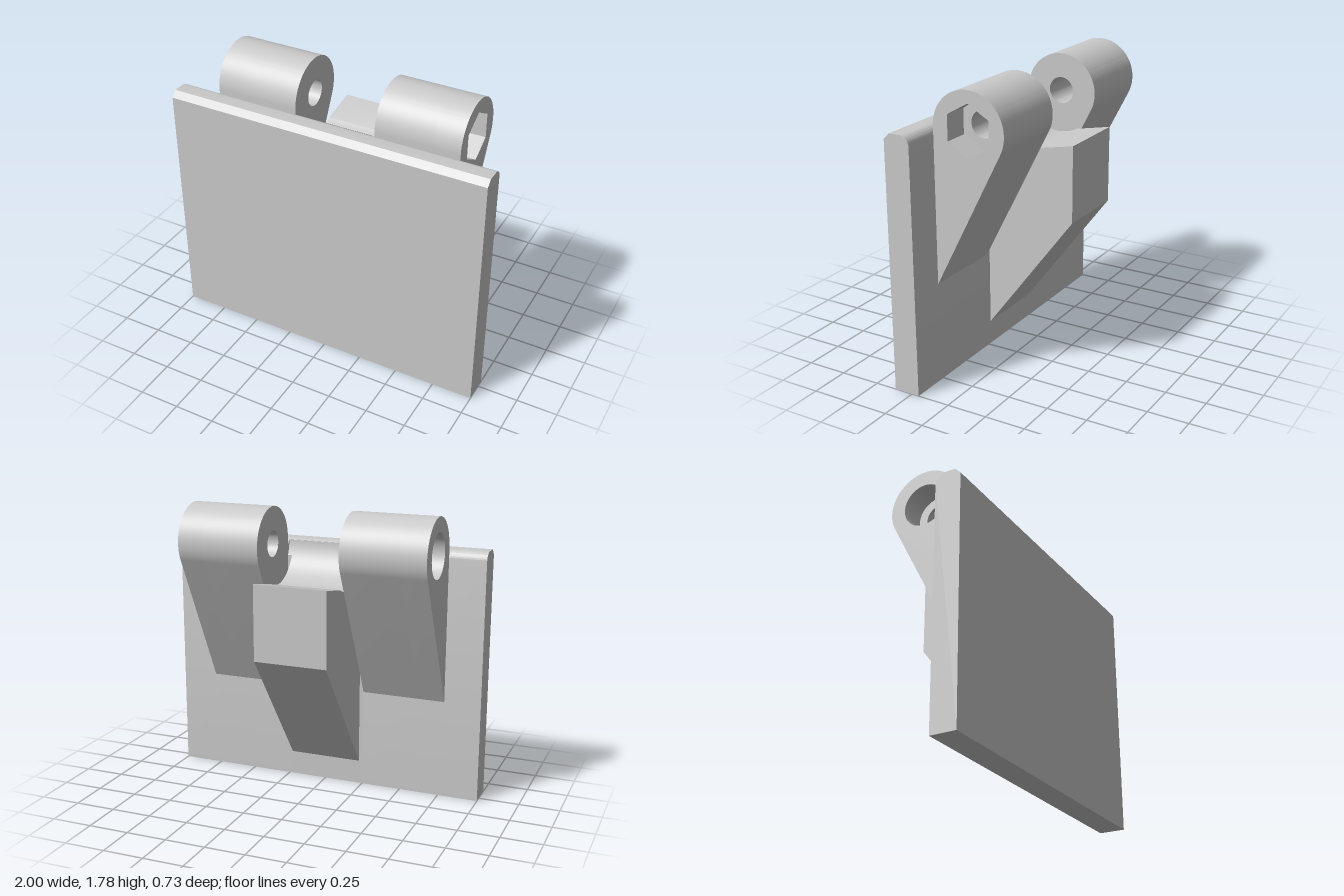
import * as THREE from 'three';
import { toCreasedNormals } from 'three/addons/utils/BufferGeometryUtils.js';

// Profiles are drawn in the side plane: shape x = -z (towards the back), shape y = up.
const BACK = -0.203, FRONT = -0.365;            // plate faces
const PIN = { x: 0.022, y: 1.55 };              // hinge axis
const KNUCKLE_R = 0.226, CLEARANCE_R = 0.25, BORE_R = 0.08;
const NOTCH = 0.451;                            // angle where the clearance meets the plate

export function createModel() {
  const model = new THREE.Group();
  model.name = 'hingeBracket';
  const grey = new THREE.MeshStandardMaterial({ color: 0xcacaca });
  grey.name = 'light grey';

  // Extrudes a side profile along x from x0 to x1.
  function slab(name, shape, x0, x1, parent = model) {
    let geo = new THREE.ExtrudeGeometry(shape, { depth: x1 - x0, bevelEnabled: false, curveSegments: 40 });
    geo.translate(0, 0, x0);
    geo.rotateY(Math.PI / 2);
    geo = toCreasedNormals(geo, 0.4);
    const mesh = new THREE.Mesh(geo, grey);
    mesh.name = name;
    parent.add(mesh);
  }

  // Plate with chamfered front edge and rounded back edge; the middle has a clearance groove
  function plateShape(notched) {
    const s = new THREE.Shape();
    s.moveTo(FRONT, 0);
    s.lineTo(BACK, 0);
    if (notched) s.absarc(PIN.x, PIN.y, CLEARANCE_R, Math.PI + NOTCH, Math.PI + 0.05, true);
    s.absarc(BACK - 0.055, 1.49, 0.055, notched ? 0.95 : 0, Math.PI / 2, false);
    s.lineTo(-0.33, 1.545);
    s.lineTo(FRONT, 1.51);
    s.closePath();
    return s;
  }
  const plate = new THREE.Group();
  plate.name = 'plate';
  model.add(plate);
  slab('plateRight', plateShape(false), -1, -0.254, plate);
  slab('plateMiddle', plateShape(true), -0.254, 0.254, plate);
  slab('plateLeft', plateShape(false), 0.254, 1, plate);

  // Knuckle: round eye blending into a tapered leg, with a round or hexagonal hole
  function knuckleShape(holeRadius, sides = 0) {
    const s = new THREE.Shape();
    s.moveTo(PIN.x - KNUCKLE_R, 1);
    s.lineTo(PIN.x - KNUCKLE_R, 0.61);
    s.absarc(PIN.x, PIN.y, KNUCKLE_R, -0.47, Math.PI, false);
    s.closePath();
    const hole = new THREE.Path();
    if (sides) {
      const pts = [];
      for (let i = 0; i < sides; i++) {
        const a = Math.PI / 2 - (i / sides) * Math.PI * 2;
        pts.push(new THREE.Vector2(PIN.x + holeRadius * Math.cos(a), PIN.y + holeRadius * Math.sin(a)));
      }
      hole.setFromPoints(pts);
      hole.closePath();
    } else {
      hole.absarc(PIN.x, PIN.y, holeRadius, 0, Math.PI * 2, true);
    }
    s.holes.push(hole);
    return s;
  }
  const left = new THREE.Group(), right = new THREE.Group();
  left.name = 'leftKnuckle';
  right.name = 'rightKnuckle';
  model.add(left, right);
  slab('leftBore', knuckleShape(BORE_R), 0.254, 0.615, left);
  slab('hexNutPocket', knuckleShape(0.152, 6), 0.615, 0.773, left);
  slab('rightBore', knuckleShape(BORE_R), -0.615, -0.254, right);
  slab('boltHeadPocket', knuckleShape(0.135), -0.773, -0.615, right);

  // Central stop block with a concave seat concentric with the hinge axis
  const stop = new THREE.Shape();
  stop.moveTo(BACK, 0.15);
  stop.lineTo(0.365, 0.91);
  stop.lineTo(0.365, 1.375);
  stop.absarc(PIN.x, PIN.y, CLEARANCE_R, -1.07, -(Math.PI - NOTCH), true);
  stop.closePath();
  slab('stopBlock', stop, -0.228, 0.228);

  return model;
}
